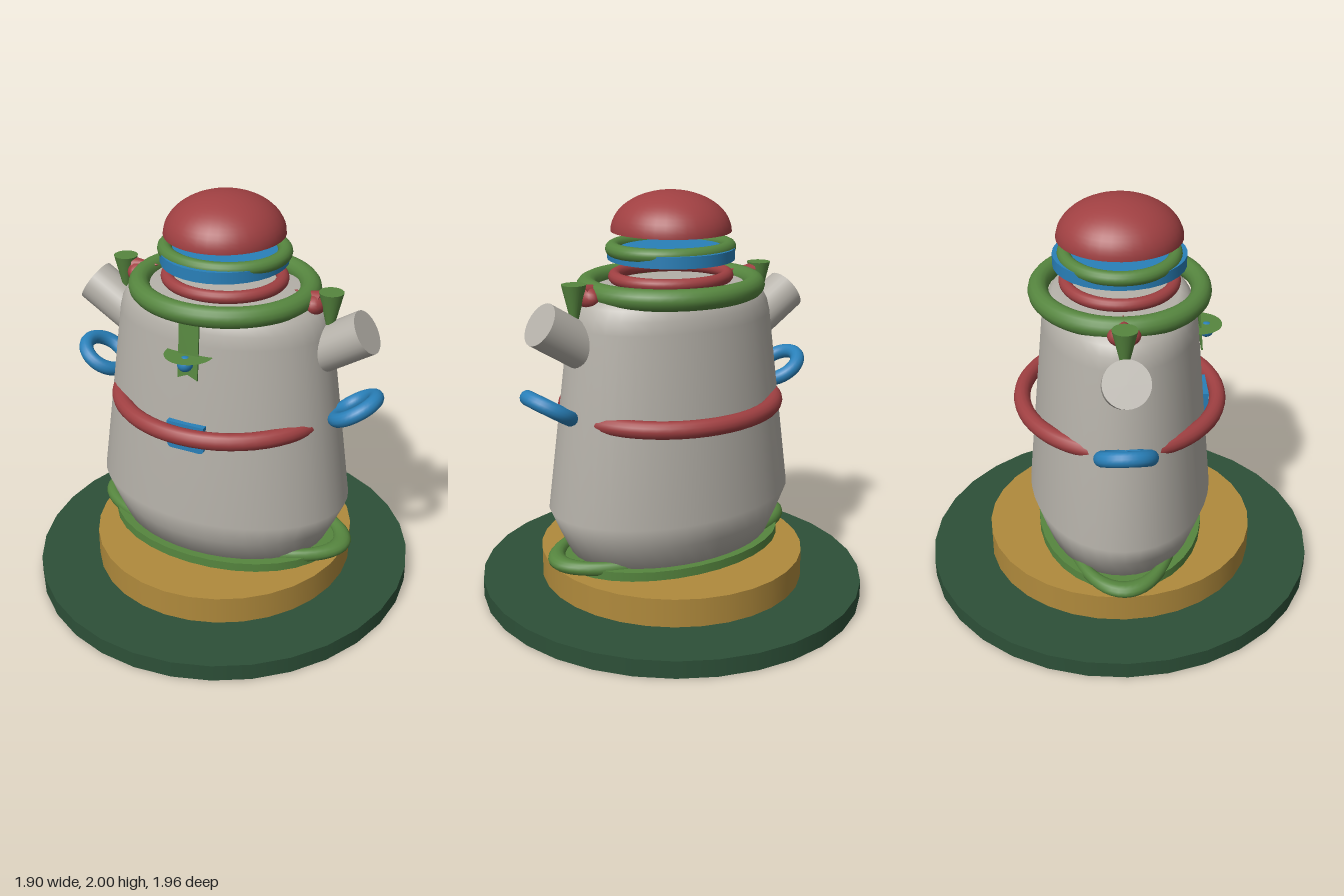
import * as THREE from 'three';

const material = (name, color, side = THREE.FrontSide) => {
  const m = new THREE.MeshStandardMaterial({ color, side });
  m.name = name;
  return m;
};

export function createModel() {
  const model = new THREE.Group();
  const red = material('brick red', 0xa04042);
  const green = material('leaf green', 0x56863f, THREE.DoubleSide);
  const darkGreen = material('dark green', 0x2d5038);
  const gold = material('ochre', 0xb08a3c);
  const blue = material('blue', 0x2980b9);
  const grey = material('warm grey', 0xb5b1a9);

  const add = (name, geometry, mat, x = 0, y = 0, z = 0, parent = model) => {
    const mesh = new THREE.Mesh(geometry, mat);
    mesh.name = name;
    mesh.position.set(x, y, z);
    parent.add(mesh);
    return mesh;
  };
  // Upright elliptical disc between two heights
  const disc = (name, mat, rx, rz, y0, y1) =>
    add(name, new THREE.CylinderGeometry(1, 1, y1 - y0, 32).scale(rx, 1, rz), mat, 0, (y0 + y1) / 2);
  // Level elliptical ring, given its outer half-widths
  const ring = (name, mat, rx, rz, tube, y) => {
    const r = (rx + rz) / 2;
    const geo = new THREE.TorusGeometry(r - tube, tube, 14, 56)
      .rotateX(Math.PI / 2).scale(rx / r, 1, rz / r);
    return add(name, geo, mat, 0, y);
  };

  // Plinth
  disc('basePlate', darkGreen, 0.95, 0.98, 0, 0.085);
  disc('plinth', gold, 0.652, 0.675, 0.085, 0.225);
  disc('bodyFoot', green, 0.6, 0.42, 0.225, 0.27);
  ring('footRing', green, 0.69, 0.31, 0.034, 0.267);

  // Body, narrower from front to back
  const profile = [[0, 0.25], [0.535, 0.25], [0.6, 0.385], [0.65, 0.5], [0.53, 1.4],
    [0.515, 1.46], [0.49, 1.505], [0.45, 1.54], [0.4, 1.56], [0, 1.565]]
    .map(([x, y]) => new THREE.Vector2(x, y));
  add('body', new THREE.LatheGeometry(profile, 40).scale(1, 1, 0.7), grey);

  // Bands around the body
  ring('belt', red, 0.565, 0.52, 0.042, 0.98);
  ring('shoulderRing', green, 0.46, 0.43, 0.05, 1.555);
  ring('neckCollar', red, 0.305, 0.285, 0.03, 1.597);

  // Floating lid
  disc('lidBand', blue, 0.3, 0.312, 1.68, 1.735);
  ring('lidRing', green, 0.32, 0.29, 0.034, 1.732);
  const dome = new THREE.SphereGeometry(1, 36, 14, 0, Math.PI * 2, 0, Math.PI / 2);
  add('lidDome', dome.scale(0.283, 0.19, 0.294), red, 0, 1.81);
  add('lidDomeBase', new THREE.CircleGeometry(1, 36).rotateX(Math.PI / 2).scale(0.283, 1, 0.294),
    red, 0, 1.81);

  // Spouts, rings and plugs on both sides
  const tilt = 0.56;
  for (const s of [1, -1]) {
    const side = new THREE.Group();
    side.name = s > 0 ? 'leftSide' : 'rightSide';
    model.add(side);

    const spout = add('spout', new THREE.CylinderGeometry(0.106, 0.106, 0.28, 28), grey,
      s * 0.592, 1.373, 0, side);
    spout.rotation.z = -s * (Math.PI / 2 - tilt);

    const handle = add('handleRing', new THREE.TorusGeometry(0.109, 0.036, 14, 36).rotateX(Math.PI / 2),
      blue, s * 0.677, 1.05, 0, side);
    handle.rotation.z = s * tilt;

    add('plug', new THREE.CylinderGeometry(0.058, 0.02, 0.16, 20), green, s * 0.532, 1.53, 0, side);
    add('plugKnob', new THREE.SphereGeometry(1, 20, 12).scale(0.05, 0.05, 0.075), red,
      s * 0.46, 1.542, 0, side);
    const spike = add('plugSpike', new THREE.ConeGeometry(0.045, 0.13, 16), red,
      s * 0.415, 1.575, 0, side);
    spike.rotation.z = s * 1.35;
  }

  // Notched pennant on the front
  const pennant = new THREE.Shape();
  pennant.moveTo(-0.05, 0.27);
  pennant.lineTo(-0.05, 0);
  pennant.lineTo(0, 0.022);
  pennant.lineTo(0.05, 0);
  pennant.lineTo(0.05, 0.27);
  const flag = add('pennant', new THREE.ExtrudeGeometry(pennant, { depth: 0.009, bevelEnabled: false }),
    green, 0, 1.235, 0.388);
  flag.rotation.x = -0.09;
  add('leafDisc', new THREE.CircleGeometry(0.115, 28).rotateX(-Math.PI / 2), green, 0, 1.355, 0.375);
  add('pennantBead', new THREE.SphereGeometry(0.037, 20, 14), blue, 0, 1.322, 0.415);

  // Rounded buckle behind the belt
  const buckle = new THREE.Shape();
  buckle.moveTo(-0.095, 0.14);
  buckle.lineTo(-0.095, 0.025);
  buckle.quadraticCurveTo(-0.095, 0, -0.07, 0);
  buckle.lineTo(0.07, 0);
  buckle.quadraticCurveTo(0.095, 0, 0.095, 0.025);
  buckle.lineTo(0.095, 0.14);
  add('buckle', new THREE.ExtrudeGeometry(buckle, { depth: 0.03, bevelEnabled: false }),
    blue, 0, 0.875, 0.4);

  return model;
}
